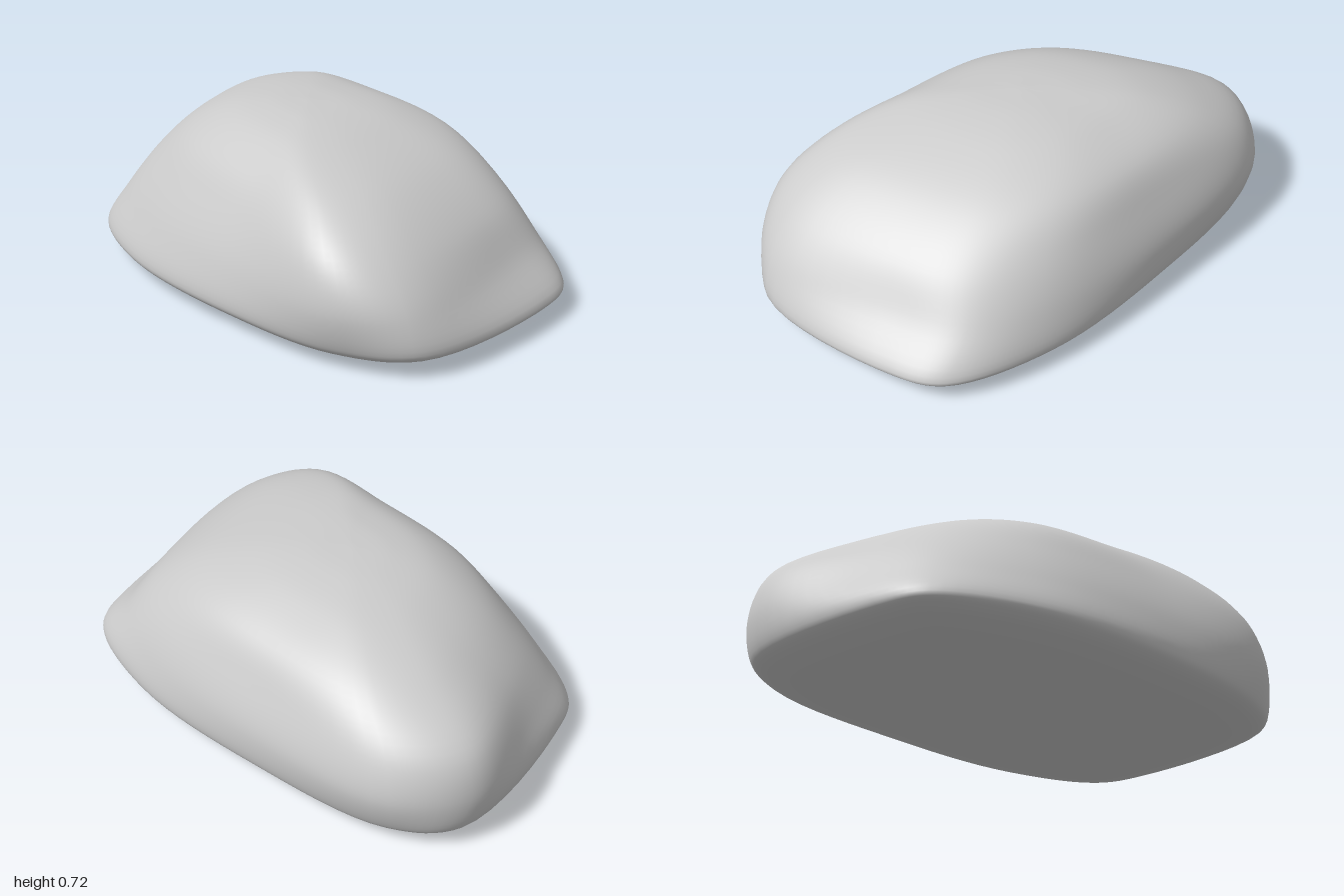
import * as THREE from 'three';
import { mergeVertices } from 'three/addons/utils/BufferGeometryUtils.js';

const AROUND = 96, UP = 64;

// Horizontal cross-sections: x, z pairs running left, front, right, back
const sections = [
  { y: 0.095, p: [-1, 0.02, -0.96, 0.24, -0.6, 0.52, 0, 0.71, 0.53, 0.77, 0.84, 0.64, 1, 0, 0.96, -0.22, 0.6, -0.49, 0, -0.68, -0.64, -0.77, -0.89, -0.64] },
  { y: 0.25, p: [-0.955, -0.15, -0.88, 0.2, -0.56, 0.48, 0, 0.69, 0.55, 0.805, 0.8, 0.64, 0.87, 0.05, 0.83, -0.24, 0.56, -0.48, 0, -0.69, -0.66, -0.81, -0.94, -0.61] },
  { y: 0.42, p: [-0.86, -0.18, -0.76, 0.15, -0.5, 0.41, 0, 0.62, 0.49, 0.765, 0.68, 0.6, 0.745, 0.1, 0.7, -0.2, 0.48, -0.44, 0, -0.63, -0.62, -0.765, -0.89, -0.58] },
  { y: 0.57, p: [-0.69, -0.18, -0.61, 0.11, -0.41, 0.34, 0, 0.52, 0.36, 0.625, 0.5, 0.48, 0.54, 0.08, 0.5, -0.18, 0.34, -0.39, 0, -0.54, -0.48, -0.63, -0.68, -0.47] },
  { y: 0.67, p: [-0.48, -0.12, -0.43, 0.08, -0.29, 0.24, -0.04, 0.36, 0.16, 0.42, 0.25, 0.31, 0.28, 0.05, 0.25, -0.14, 0.13, -0.29, -0.1, -0.38, -0.34, -0.43, -0.46, -0.31] },
];

const toRing = ({ y, p }) =>
  Array.from({ length: p.length / 2 }, (_, k) => new THREE.Vector3(p[2 * k], y, p[2 * k + 1]));

// Copy of a ring shrunk toward a centre line and moved to another height
const shrink = (ring, s, y, cx = 0) =>
  ring.map((v) => new THREE.Vector3(cx + (v.x - cx) * s, y, v.z * s));

function rockGeometry() {
  const body = sections.map(toRing);
  const base = body[0], crown = body[body.length - 1];
  const rings = [
    // nearly flat underside with a rounded rim
    shrink(base, 0, 0), shrink(base, 0.5, 0.007), shrink(base, 0.84, 0.028), shrink(base, 0.96, 0.06),
    ...body,
    // gently domed top
    shrink(crown, 0.5, 0.709, -0.1), shrink(crown, 0, 0.72, -0.1),
  ];

  // Smooth ribs from bottom to top, then smooth loops across the ribs
  const ribs = base.map((_, k) =>
    new THREE.CatmullRomCurve3(rings.map((r) => r[k])).getPoints(UP));
  const positions = [], index = [];
  for (let i = 0; i <= UP; i++) {
    const pole = i === 0 || i === UP;
    const loop = new THREE.CatmullRomCurve3(ribs.map((r) => r[i]), true);
    for (let j = 0; j < AROUND; j++) {
      const v = pole ? ribs[0][i] : loop.getPoint(j / AROUND);
      positions.push(v.x, v.y, v.z);
    }
  }
  for (let i = 0; i < UP; i++) {
    for (let j = 0; j < AROUND; j++) {
      const a = i * AROUND + j, b = i * AROUND + (j + 1) % AROUND;
      const c = b + AROUND, d = a + AROUND;
      if (i > 0) index.push(a, b, c);
      if (i < UP - 1) index.push(a, c, d);
    }
  }
  const geometry = new THREE.BufferGeometry();
  geometry.setAttribute('position', new THREE.Float32BufferAttribute(positions, 3));
  geometry.setIndex(index);
  const welded = mergeVertices(geometry, 1e-5);
  welded.computeVertexNormals();
  return welded;
}

export function createModel() {
  const group = new THREE.Group();
  group.name = 'boulder';
  const rock = new THREE.Mesh(rockGeometry(), new THREE.MeshStandardMaterial({ color: 0xcccccc }));
  rock.name = 'rock';
  group.add(rock);
  return group;
}
